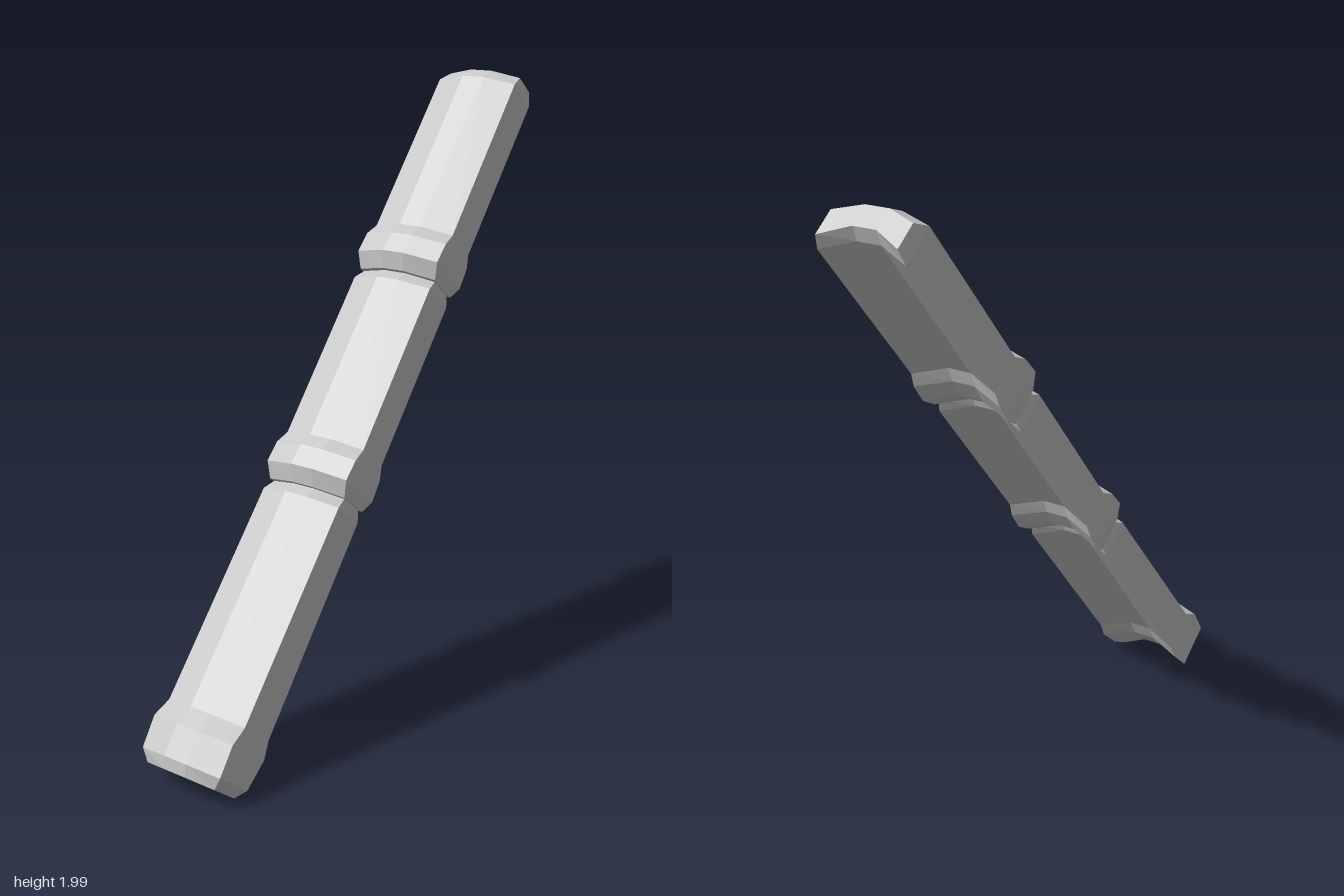
import * as THREE from 'three';

const stone = new THREE.MeshStandardMaterial({ color: 0xc8c8c8, flatShading: true });
stone.name = 'pale grey';

// Arched channel section, counter-clockwise: ridge at height t, lower edge at b, half width w
function section(t, b, w) {
  const r = 0.04, rise = 0.045, drop = 0.032;
  return [[-w, b], [-r, b + rise], [r, b + rise], [w, b],
    [w, t - drop], [r, t], [-r, t], [-w, t - drop]];
}

// Closed loft through stations [distance along slope, ridge height, lower edge, half width]
function makeTile(name, stations) {
  const pos = [], idx = [], n = 8, last = (stations.length - 1) * n;
  for (const [s, t, b, w] of stations)
    for (const [x, y] of section(t, b, w)) pos.push(x, y, -s);
  const quad = (a, b, c, d) => idx.push(a, b, c, a, c, d);
  for (let i = 0; i < last; i += n)
    for (let j = 0; j < n; j++) {
      const k = (j + 1) % n;
      quad(i + j, i + n + j, i + n + k, i + k);
    }
  // End caps
  for (const [a, b, c, d] of [[0, 1, 6, 7], [1, 2, 5, 6], [2, 3, 4, 5]]) {
    quad(a, b, c, d);
    quad(last + d, last + c, last + b, last + a);
  }
  const geo = new THREE.BufferGeometry();
  geo.setAttribute('position', new THREE.Float32BufferAttribute(pos, 3));
  geo.setIndex(idx);
  geo.computeVertexNormals();
  const mesh = new THREE.Mesh(geo, stone);
  mesh.name = name;
  return mesh;
}

// Flared lower lip shared by the upper tiles
const lip = s => [
  [s, 0.695, 0.545, 0.146],
  [s + 0.045, 0.734, 0.525, 0.154],
  [s + 0.115, 0.728, 0.53, 0.154],
  [s + 0.16, 0.704, 0.546, 0.149],
];
// Chamfered upper end
const topEnd = s => [
  [s - 0.045, 0.705, 0.545, 0.147],
  [s, 0.676, 0.56, 0.136],
];

export function createModel() {
  const group = new THREE.Group();
  group.name = 'slopedRidge';
  const slope = new THREE.Group();
  slope.name = 'tileRow';
  slope.rotation.x = Math.acos(0.634);
  slope.add(
    makeTile('lowerTile', [
      [-0.465, 0.715, 0.573, 0.132],
      [-0.43, 0.74, 0.553, 0.152],
      [-0.33, 0.748, 0.535, 0.154],
      [-0.27, 0.718, 0.546, 0.149],
      ...topEnd(0.488),
    ]),
    makeTile('middleTile', [...lip(0.48), ...topEnd(1.253)]),
    makeTile('upperTile', [...lip(1.245), ...topEnd(2.027)]),
  );
  group.add(slope);
  return group;
}
